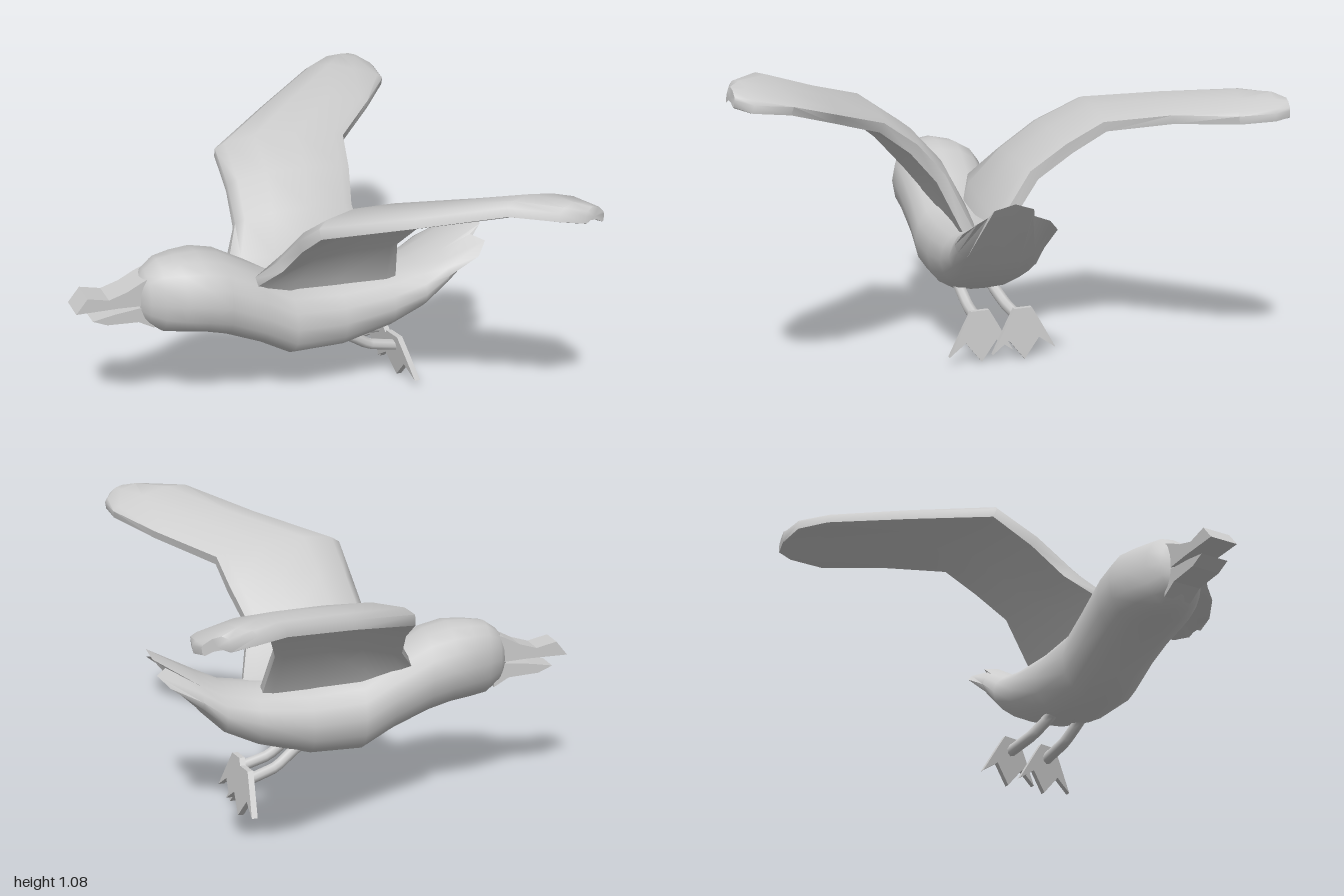
import * as THREE from 'three';
import { toCreasedNormals } from 'three/addons/utils/BufferGeometryUtils.js';

const material = new THREE.MeshStandardMaterial({ color: 0xcccccc, side: THREE.DoubleSide });
const MID_Z = 0.03; // centre line of the body

// Skin a list of equal-sized rings; end caps fan out from the ring centres.
function loft(rings, crease, capEnd) {
  const n = rings[0].length;
  const points = rings.flat();
  const index = [];
  for (let r = 0; r < rings.length - 1; r++) {
    for (let i = 0; i < n; i++) {
      const a = r * n + i, b = r * n + (i + 1) % n;
      index.push(a, b, a + n, b, b + n, a + n);
    }
  }
  const cap = (r, flip) => {
    const centre = new THREE.Vector3();
    rings[r].forEach(p => centre.addScaledVector(p, 1 / n));
    const c = points.push(centre) - 1;
    for (let i = 0; i < n; i++) {
      const a = r * n + i, b = r * n + (i + 1) % n;
      index.push(c, flip ? a : b, flip ? b : a);
    }
  };
  cap(0, false);
  if (capEnd) cap(rings.length - 1, true);

  // Turn the faces outward if the enclosed volume is negative.
  let volume = 0;
  const cross = new THREE.Vector3();
  for (let i = 0; i < index.length; i += 3) {
    volume += cross.crossVectors(points[index[i + 1]], points[index[i + 2]]).dot(points[index[i]]);
  }
  if (volume < 0) index.reverse();
  const geometry = new THREE.BufferGeometry().setFromPoints(points);
  geometry.setIndex(index);
  return toCreasedNormals(geometry, crease);
}

function addMesh(parent, name, geometry) {
  const mesh = new THREE.Mesh(geometry, material);
  mesh.name = name;
  parent.add(mesh);
  return mesh;
}

// Head, breast and belly, running into an arched, notched tail.
function bodyGeometry() {
  const sections = [ // x, bottom, top, half width
    [-0.58, 0.45, 0.59, 0.05],
    [-0.55, 0.42, 0.63, 0.09],
    [-0.5, 0.383, 0.665, 0.12],
    [-0.43, 0.373, 0.672, 0.155],
    [-0.35, 0.363, 0.672, 0.18],
    [-0.26, 0.335, 0.65, 0.175],
    [-0.12, 0.272, 0.57, 0.167],
    [0, 0.202, 0.5, 0.167],
    [0.2, 0.2, 0.48, 0.167],
    [0.4, 0.252, 0.48, 0.167],
    [0.53, 0.312, 0.495, 0.167],
    [0.62, 0.4, 0.535, 0.168],
  ];
  const n = 16;
  const soft = v => Math.sign(v) * Math.abs(v) ** 0.88;
  const rings = sections.map(([x, low, high, w]) => Array.from({ length: n }, (_, i) => {
    const a = i / n * Math.PI * 2;
    return new THREE.Vector3(x, (low + high) / 2 + soft(Math.sin(a)) * (high - low) / 2, MID_Z + soft(Math.cos(a)) * w);
  }));
  // Feather tips and notches from the middle out to the side: x, y, distance from centre
  const tips = [[0.805, 0.64, 0], [0.79, 0.617, 0.07], [0.745, 0.585, 0.08], [0.785, 0.572, 0.13], [0.74, 0.53, 0.17]];
  rings.push(Array.from({ length: n }, (_, i) => {
    const c = Math.cos(i / n * Math.PI * 2);
    const k = Math.round(Math.asin(Math.min(1, Math.abs(c))) / (Math.PI / 8));
    return new THREE.Vector3(tips[k][0], tips[k][1], MID_Z + Math.sign(c) * tips[k][2]);
  }));
  return loft(rings, 0.9, false);
}

// Wing from stations of leading and trailing edge points, with a blunt, cambered aerofoil.
function wingGeometry(stations, side) {
  const edges = stations.map(s => [new THREE.Vector3(...s.slice(0, 3)), new THREE.Vector3(...s.slice(3, 6))]);
  const foil = [ // chord fraction, height in half thicknesses
    [0, -0.4], [0, 0.35], [0.07, 0.85], [0.3, 1.25], [0.62, 1.1], [0.93, 0.65],
    [1, 0.35], [1, -0.35], [0.93, -0.45], [0.62, -0.15], [0.3, -0.1], [0.07, -0.45],
  ];
  const halves = [0.05, 0.055, 0.06, 0.058, 0.052, 0.045, 0.042, 0.04, 0.034];
  const rings = edges.map(([lead, trail], i) => {
    const before = edges[Math.max(0, i - 1)], after = edges[Math.min(edges.length - 1, i + 1)];
    const span = after[0].clone().add(after[1]).sub(before[0]).sub(before[1]);
    const chord = trail.clone().sub(lead);
    const up = span.cross(chord).normalize().multiplyScalar(side * halves[i]);
    return foil.map(([t, h]) => lead.clone().addScaledVector(chord, t).addScaledVector(up, h));
  });
  return loft(rings, 1, true);
}

const leftStations = [ // leading xyz, trailing xyz
  [-0.13, 0.43, 0.09, 0.42, 0.38, 0.07],
  [-0.15, 0.55, 0.13, 0.43, 0.47, 0.1],
  [-0.08, 0.645, 0.215, 0.39, 0.66, 0.19],
  [-0.055, 0.768, 0.33, 0.44, 0.78, 0.3],
  [-0.04, 0.885, 0.485, 0.465, 0.865, 0.42],
  [0.23, 0.965, 0.685, 0.67, 0.935, 0.62],
  [0.48, 1.052, 0.885, 0.81, 0.99, 0.79],
  [0.63, 1.045, 0.975, 0.825, 1.002, 0.92],
  [0.72, 1.03, 0.995, 0.8, 1.02, 0.98],
];
const rightStations = [
  [-0.16, 0.43, -0.04, 0.38, 0.38, 0],
  [-0.18, 0.55, -0.085, 0.385, 0.47, -0.04],
  [-0.115, 0.64, -0.185, 0.36, 0.65, -0.165],
  [-0.095, 0.742, -0.315, 0.4, 0.75, -0.285],
  [-0.085, 0.825, -0.48, 0.43, 0.83, -0.41],
  [0.19, 0.88, -0.69, 0.62, 0.878, -0.6],
  [0.47, 0.93, -0.905, 0.77, 0.89, -0.79],
  [0.58, 0.93, -0.98, 0.785, 0.898, -0.92],
  [0.67, 0.915, -0.995, 0.765, 0.905, -0.98],
];

function extrude(outline, depth) {
  const shape = new THREE.Shape(outline.map(p => new THREE.Vector2(...p)));
  return new THREE.ExtrudeGeometry(shape, { depth, bevelEnabled: false }).translate(0, 0, -depth / 2);
}

// Webbed foot: three toes, hanging and slightly turned outward.
function footGeometry(z) {
  const half = [[0.035, 0.185], [0.065, 0.135], [0.125, 0.03], [0.06, 0.075]];
  const outline = [...half, [0, 0.002], ...half.map(([s, y]) => [-s, y]).reverse()];
  const geometry = extrude(outline, 0.022);
  const p = geometry.attributes.position;
  for (let i = 0; i < p.count; i++) {
    const s = p.getX(i), y = p.getY(i), t = p.getZ(i);
    p.setXYZ(i, 0.482 - 0.14 * y + 0.2 * s - t, y, z + s);
  }
  geometry.computeVertexNormals();
  return geometry;
}

export function createModel() {
  const bird = new THREE.Group();
  bird.name = 'flyingBird';
  addMesh(bird, 'body', bodyGeometry());
  addMesh(bird, 'leftWing', wingGeometry(leftStations, 1));
  addMesh(bird, 'rightWing', wingGeometry(rightStations, -1));

  // Open beak: two flat-sided halves
  const upper = [[-0.53, 0.62], [-0.57, 0.605], [-0.63, 0.575], [-0.7, 0.555], [-0.78, 0.575], [-0.825, 0.52], [-0.66, 0.515], [-0.53, 0.505]];
  const lower = [[-0.53, 0.505], [-0.68, 0.493], [-0.765, 0.48], [-0.71, 0.455], [-0.59, 0.445], [-0.53, 0.41]];
  addMesh(bird, 'upperBeak', extrude(upper, 0.11)).position.z = MID_Z - 0.005;
  addMesh(bird, 'lowerBeak', extrude(lower, 0.11)).position.z = MID_Z - 0.005;

  // Trailing legs and webbed feet
  for (const [side, hip, ankle] of [['left', 0.09, 0.065], ['right', -0.035, -0.095]]) {
    const path = new THREE.CatmullRomCurve3([
      new THREE.Vector3(0.2, 0.26, hip),
      new THREE.Vector3(0.26, 0.225, hip),
      new THREE.Vector3(0.34, 0.17, (hip + ankle) / 2),
      new THREE.Vector3(0.462, 0.135, ankle),
    ], false, 'catmullrom', 0.15);
    addMesh(bird, side + 'Leg', new THREE.TubeGeometry(path, 10, 0.022, 8));
    addMesh(bird, side + 'Foot', footGeometry(ankle));
  }
  return bird;
}
